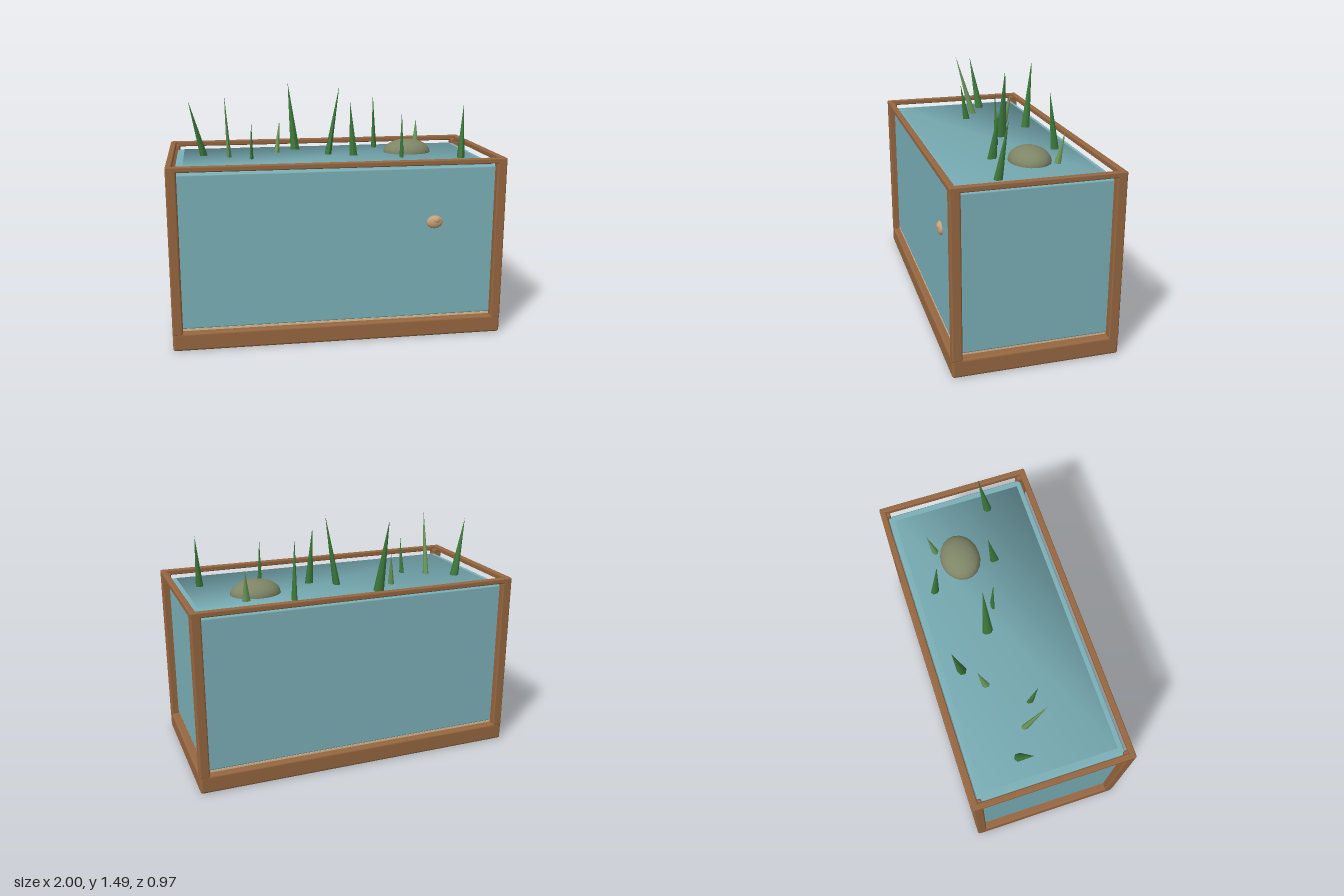
import * as THREE from 'three';
import { RoundedBoxGeometry } from 'three/addons/geometries/RoundedBoxGeometry.js';
import { mergeVertices } from 'three/addons/utils/BufferGeometryUtils.js';

const mat = (name, color) => new THREE.MeshStandardMaterial({ name, color });

export function createModel() {
  const group = new THREE.Group();
  const wood = mat('wood', 0x966740);
  const glass = mat('glass', 0x7bb0b8);
  const sand = mat('sand', 0xd6bd94);
  const stone = mat('stone', 0x7f8566);
  const shell = mat('shell', 0xc9a37a);
  const darkLeaf = mat('darkLeaf', 0x3d7a3c);
  const lightLeaf = mat('lightLeaf', 0x6c9a5c);

  const add = (name, geometry, material, x, y, z, parent = group) => {
    const mesh = new THREE.Mesh(geometry, material);
    mesh.name = name;
    mesh.position.set(x, y, z);
    parent.add(mesh);
    return mesh;
  };
  const rounded = (w, h, d, r) => new RoundedBoxGeometry(w, h, d, 2, r);

  // Wooden frame: base, corner posts and top rails
  add('base', rounded(2, 0.11, 0.974, 0.015), wood, 0, 0.055, 0);
  for (const s of [-1, 1]) {
    for (const t of [-1, 1]) {
      add('cornerPost', rounded(0.06, 0.985, 0.06, 0.01), wood, s * 0.97, 0.588, t * 0.457);
    }
    add('longRail', rounded(2, 0.033, 0.036, 0.008), wood, 0, 1.083, s * 0.469);
    add('shortRail', rounded(0.036, 0.033, 0.974, 0.008), wood, s * 0.982, 1.083, 0);
  }

  // Tank body on a thin bed of sand
  add('sandBed', new THREE.BoxGeometry(1.9, 0.03, 0.89), sand, 0, 0.108, 0);
  add('glassTank', rounded(1.91, 0.928, 0.89, 0.01), glass, 0, 0.584, 0);

  // Water block with softly shaded shared corners, just above the glass
  let water = new THREE.BoxGeometry(1.82, 0.9, 0.82);
  water.deleteAttribute('normal');
  water.deleteAttribute('uv');
  water = mergeVertices(water);
  water.computeVertexNormals();
  add('water', water, glass, 0, 0.605, 0);

  // Stone rising out of the water
  add('stone', new THREE.SphereGeometry(1, 20, 12), stone, 0.53, 1.055, -0.092)
    .scale.set(0.154, 0.085, 0.124);

  // Snail on the front glass
  const snail = new THREE.Group();
  snail.name = 'snail';
  snail.position.set(0.575, 0.715, 0.445);
  group.add(snail);
  add('snailBody', new THREE.SphereGeometry(1, 16, 12), shell, 0, 0, 0, snail).scale.set(0.05, 0.04, 0.022);
  add('snailShell', new THREE.SphereGeometry(1, 12, 8), shell, 0.008, 0.014, 0.012, snail)
    .scale.set(0.024, 0.02, 0.014);

  // Pointed leaves: base x, z, tip x, y, z, width, depth, light
  const leaves = [
    [-0.78, -0.15, -0.87, 1.41, -0.1, 0.055, 0.06, 0],
    [-0.625, -0.06, -0.65, 1.46, 0.055, 0.035, 0.05, 1],
    [-0.49, 0.02, -0.49, 1.29, 0.06, 0.027, 0.05, 0],
    [-0.315, -0.19, -0.29, 1.26, -0.235, 0.04, 0.05, 1],
    [-0.18, -0.3, -0.22, 1.49, -0.352, 0.068, 0.06, 0],
    [0.005, -0.08, 0.08, 1.49, -0.08, 0.045, 0.07, 0],
    [0.16, 0.0, 0.135, 1.4, 0.0, 0.06, 0.027, 0],
    [0.358, -0.31, 0.34, 1.41, -0.275, 0.035, 0.055, 0],
    [0.447, 0.11, 0.453, 1.34, 0.07, 0.025, 0.06, 0],
    [0.622, -0.225, 0.635, 1.245, -0.265, 0.055, 0.045, 1],
    [0.81, 0.18, 0.835, 1.38, 0.13, 0.05, 0.055, 0],
  ];
  const bottom = 1.04;
  for (const [bx, bz, tx, ty, tz, w, d, light] of leaves) {
    const geometry = new THREE.ConeGeometry(0.5, 1, 6, 1).translate(0, 0.5, 0);
    const p = geometry.attributes.position;
    // Lean each cone from its base towards its tip
    for (let i = 0; i < p.count; i++) {
      const t = p.getY(i);
      p.setXYZ(i, p.getX(i) * w + t * (tx - bx), t * (ty - bottom), p.getZ(i) * d + t * (tz - bz));
    }
    geometry.computeVertexNormals();
    add('leaf', geometry, light ? lightLeaf : darkLeaf, bx, bottom, bz);
  }

  return group;
}
